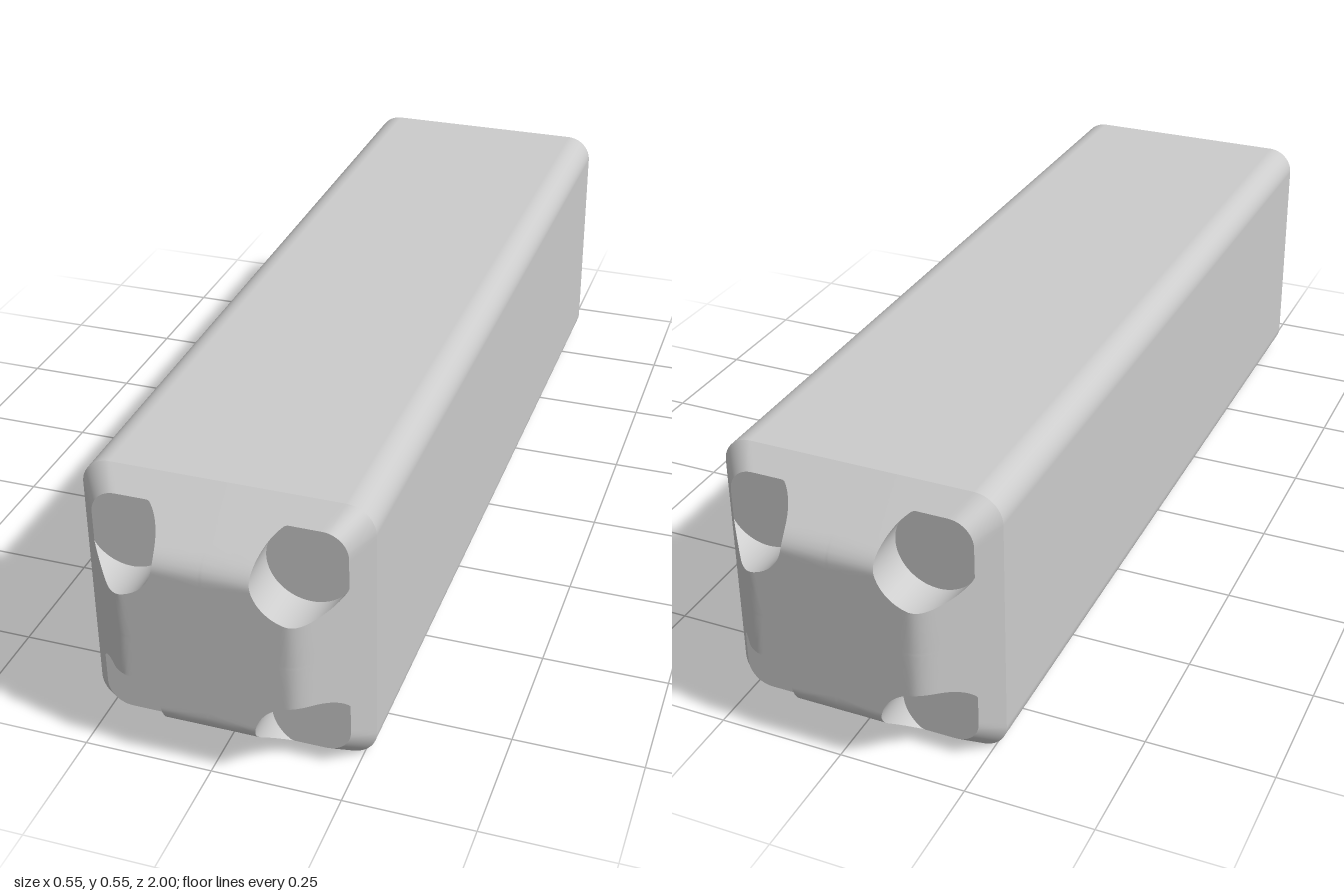
import * as THREE from 'three';

const HALF_W = 0.275, HALF_H = 0.2725, MID_Y = 0.2725;
const SHOULDER = 0.87, END = 1, FLOOR = 0.914; // z of taper start, end face, bore floor
const BORE = { x: 0.17, y: 0.169, r: 0.081 };
const CORNER = 0.2; // corner radius as a fraction of the half size

const material = new THREE.MeshStandardMaterial({ color: 0xcccccc });

// Relative size of the rounded-square section that passes through (x, y)
function sectionScale(x, y) {
  const u = Math.abs(x) / HALF_W, v = Math.abs(y) / HALF_H, c = 1 - CORNER;
  const big = Math.max(u, v), small = Math.min(u, v);
  if (small <= big * c) return big;
  const A = 2 * c * c - CORNER * CORNER, B = (u + v) * c;
  return (B - Math.sqrt(Math.max(0, B * B - A * (u * u + v * v)))) / A;
}

// Height of the tapered end, with a soft blend between taper and flat face
function endHeight(x, y) {
  const taper = SHOULDER + (END - SHOULDER) * (1 - sectionScale(x, y)) / 0.378;
  const k = 0.025, h = Math.max(k - Math.abs(taper - END), 0) / k;
  return Math.min(taper, END) - h * h * k / 4;
}

// Surface from a grid of points; empty triangles are left out
function gridSurface(name, cols, rows, pointAt, flip = false) {
  const points = [], index = [], tri = new THREE.Triangle();
  for (let i = 0; i <= cols; i++)
    for (let j = 0; j <= rows; j++) points.push(pointAt(i, j / rows));
  const add = (a, b, c) => {
    if (tri.set(points[a], points[b], points[c]).getArea() < 1e-10) return;
    if (flip) index.push(a, c, b);
    else index.push(a, b, c);
  };
  for (let i = 0; i < cols; i++)
    for (let j = 0; j < rows; j++) {
      const a = i * (rows + 1) + j, b = a + rows + 1;
      add(a, a + 1, b);
      add(b, a + 1, b + 1);
    }
  const geometry = new THREE.BufferGeometry().setFromPoints(points);
  geometry.setIndex(index);
  geometry.computeVertexNormals();
  const mesh = new THREE.Mesh(geometry, material);
  mesh.name = name;
  return mesh;
}

// Rounded corner of the section, from the right side to the top
function cornerArc(steps) {
  const c = 1 - CORNER;
  return Array.from({ length: steps + 1 }, (_, i) => {
    const a = (i / steps) * Math.PI / 2;
    return new THREE.Vector2(HALF_W * (c + CORNER * Math.cos(a)), HALF_H * (c + CORNER * Math.sin(a)));
  });
}

// Outline of one quarter of the end, counter-clockwise
function quarterOutline() {
  const arc = cornerArc(16);
  const v = (x, y) => new THREE.Vector2(x, y);
  const line = (a, b) => Array.from({ length: 24 }, (_, i) => a.clone().lerp(b, i / 24));
  const o = v(0, 0), right = v(HALF_W, 0), top = v(0, HALF_H);
  return [...line(o, right), ...line(right, arc[0]), ...arc.slice(0, -1),
    ...line(arc[arc.length - 1], top), ...line(top, o), o];
}

// One quarter of an end: tapered face, bore wall and bore floor
function endQuarter(sx, sy, sz) {
  const centre = new THREE.Vector2(BORE.x, BORE.y);
  const outer = quarterOutline();
  // The bore rim is its circle, cut short where the taper drops below the floor
  const rim = outer.map((p) => {
    const dir = p.clone().sub(centre).normalize();
    const at = (t) => centre.clone().addScaledVector(dir, t);
    const height = (t) => endHeight(at(t).x, at(t).y);
    if (height(BORE.r) >= FLOOR) return at(BORE.r);
    let lo = 0, hi = BORE.r;
    for (let n = 0; n < 30; n++) {
      const mid = (lo + hi) / 2;
      if (height(mid) > FLOOR) lo = mid;
      else hi = mid;
    }
    return at(lo);
  });
  const place = (p, z) => new THREE.Vector3(sx * p.x, MID_Y + sy * p.y, sz * z);
  const n = outer.length - 1, flip = sx * sy * sz < 0;
  const group = new THREE.Group();
  group.name = 'endQuarter';
  group.add(
    gridSurface('taperedFace', n, 20, (i, t) => {
      const p = rim[i].clone().lerp(outer[i], t);
      return place(p, endHeight(p.x, p.y));
    }, flip),
    gridSurface('boreWall', n, 1, (i, t) =>
      place(rim[i], t ? Math.max(FLOOR, endHeight(rim[i].x, rim[i].y)) : FLOOR), flip),
    gridSurface('boreFloor', n, 1, (i, t) => place(centre.clone().lerp(rim[i], t), FLOOR), flip),
  );
  return group;
}

// Long body with rounded edges, open where the ends join it
function body() {
  const arc = cornerArc(16), ring = [new THREE.Vector2(HALF_W, 0)];
  for (const [sx, sy] of [[1, 1], [-1, 1], [-1, -1], [1, -1]]) {
    const part = arc.map((p) => new THREE.Vector2(sx * p.x, sy * p.y));
    ring.push(...(sx * sy < 0 ? part.reverse() : part));
  }
  ring.push(ring[0]);
  return gridSurface('body', ring.length - 1, 1, (i, t) =>
    new THREE.Vector3(ring[i].x, MID_Y + ring[i].y, SHOULDER * (1 - 2 * t)));
}

export function createModel() {
  const model = new THREE.Group();
  model.name = 'chamferedBeam';
  model.add(body());
  for (const sz of [1, -1]) {
    const end = new THREE.Group();
    end.name = sz > 0 ? 'frontEnd' : 'backEnd';
    for (const sx of [1, -1])
      for (const sy of [1, -1]) end.add(endQuarter(sx, sy, sz));
    model.add(end);
  }
  return model;
}
